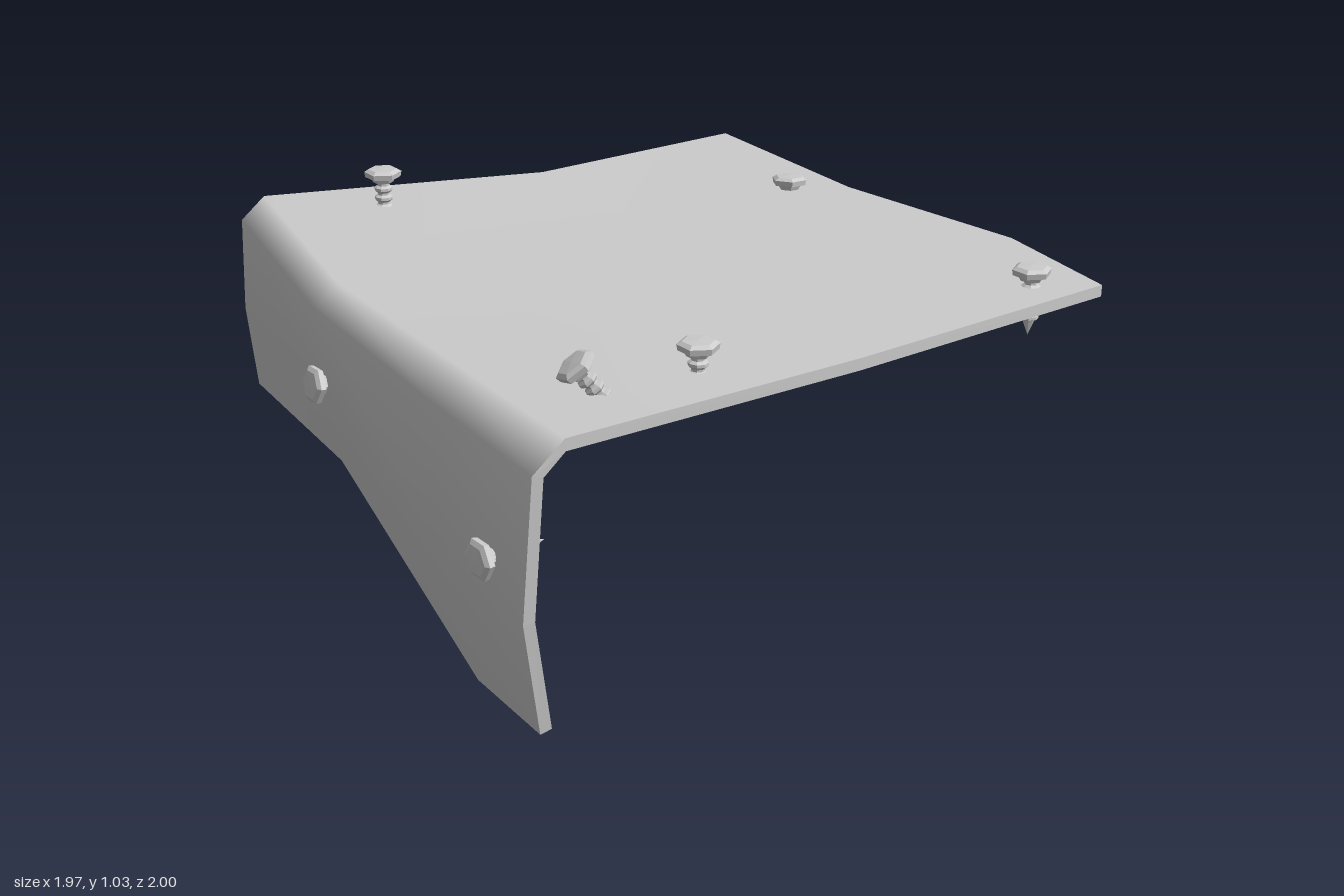
import * as THREE from 'three';

const THICK = 0.033;

// Rows run from the back edge, over the bend and down the front flap; columns from -x to +x
const ROWS = [
  [[-0.82, 0.897, -1.0], [-0.12, 0.897, -0.93], [0.53, 0.897, -0.98], [0.96, 0.897, -0.89]],
  [[-0.8, 0.9, -0.25], [-0.2, 0.9, -0.2], [0.45, 0.9, -0.1], [0.98, 0.897, 0]],
  [[-0.96, 0.945, 0.64], [-0.25, 0.908, 0.79], [0.45, 0.893, 0.83], [0.937, 0.887, 0.86]],
  [[-0.975, 0.88, 0.71], [-0.25, 0.845, 0.86], [0.45, 0.825, 0.92], [0.927, 0.81, 0.947]],
  [[-0.982, 0.6, 0.715], [-0.26, 0.6, 0.85], [0.44, 0.42, 0.915], [0.89, 0.41, 0.955]],
  [[-0.985, 0.345, 0.685], [-0.27, 0.375, 0.795], [0.43, 0.0, 0.8], [0.85, 0.07, 0.885]],
];

const material = (extra = {}) => new THREE.MeshStandardMaterial({ color: 0xcccccc, ...extra });

function makeMesh(name, geometry, mat) {
  const mesh = new THREE.Mesh(geometry, mat);
  mesh.name = name;
  return mesh;
}

function sheet(points, indices) {
  const g = new THREE.BufferGeometry();
  g.setAttribute('position', new THREE.Float32BufferAttribute(points, 3));
  g.setIndex(indices);
  g.computeVertexNormals();
  return g;
}

// Bent plate: outer skin, inner skin offset along the normals, flat rim between
function createPlate() {
  const plate = new THREE.Group();
  plate.name = 'bentPlate';
  const nr = ROWS.length, nc = ROWS[0].length;
  const id = (r, c) => r * nc + c;
  const outerIndex = [];
  for (let r = 0; r < nr - 1; r++) {
    for (let c = 0; c < nc - 1; c++) {
      const a = id(r, c), b = id(r + 1, c), d = id(r, c + 1), e = id(r + 1, c + 1);
      outerIndex.push(a, b, e, a, e, d);
    }
  }
  const outerPoints = ROWS.flat(2);
  const outer = sheet(outerPoints, outerIndex);
  const n = outer.attributes.normal.array;
  const innerPoints = outerPoints.map((v, i) => v - n[i] * THICK);
  const inner = sheet(innerPoints, [...outerIndex].reverse());

  // Boundary loop, counter-clockwise seen from outside
  const loop = [];
  for (let r = 0; r < nr - 1; r++) loop.push(id(r, 0));
  for (let c = 0; c < nc - 1; c++) loop.push(id(nr - 1, c));
  for (let r = nr - 1; r > 0; r--) loop.push(id(r, nc - 1));
  for (let c = nc - 1; c > 0; c--) loop.push(id(0, c));
  const total = nr * nc;
  const rimIndex = [];
  loop.forEach((p, k) => {
    const q = loop[(k + 1) % loop.length];
    rimIndex.push(p, p + total, q + total, p, q + total, q);
  });
  const rim = sheet([...outerPoints, ...innerPoints], rimIndex);

  plate.add(
    makeMesh('plateOuterFace', outer, material()),
    makeMesh('plateInnerFace', inner, material()),
    makeMesh('plateRim', rim, material({ flatShading: true })),
  );
  return plate;
}

const profile = (pts) => pts.map(([x, y]) => new THREE.Vector2(x, y));

// Screw with its head top at the origin, pointing down -y
const headGeometry = new THREE.LatheGeometry(
  profile([[0, -0.042], [0.03, -0.042], [0.036, -0.03], [0.052, -0.026], [0.055, -0.01], [0.042, -0.002], [0, 0]]), 6);
headGeometry.rotateY(Math.PI / 6);

function shaftGeometry() {
  const pts = [[0, -0.2], [0.017, -0.155]];
  for (let i = 0; i < 4; i++) {
    const y = -0.15 + i * 0.028;
    pts.push([0.027, y], [0.027, y + 0.008], [0.018, y + 0.014], [0.018, y + 0.02]);
  }
  pts.push([0.018, -0.035]);
  return new THREE.LatheGeometry(profile(pts), 8);
}

function createScrew(shaft, [position, axis, twist]) {
  const screw = new THREE.Group();
  screw.name = 'screw';
  screw.add(
    makeMesh('screwHead', headGeometry, material({ flatShading: true })),
    makeMesh('screwThread', shaft, material({ flatShading: true })),
  );
  screw.position.set(...position);
  screw.quaternion.setFromUnitVectors(new THREE.Vector3(0, 1, 0), new THREE.Vector3(...axis).normalize());
  screw.rotateY(twist);
  return screw;
}

// Head top position, outward axis, twist
const SCREWS = [
  [[-0.745, 1.033, 0.355], [0, 1, 0], 0],
  [[0.8, 0.975, 0.37], [0, 1, 0], 0],
  [[0.85, 0.955, -0.73], [0, 1, 0], 0],
  [[-0.215, 0.94, -0.77], [-0.05, 1, -0.04], Math.PI / 6],
  [[-0.235, 0.64, 0.9], [-0.04, 0.13, 1], 0],
  [[0.745, 0.535, 0.995], [0, 0, 1], 0],
  [[0.738, 0.975, 0.705], [-0.25, 0.8, 0.6], 0],
];

export function createModel() {
  const model = new THREE.Group();
  model.name = 'screwedPlate';
  model.add(createPlate());
  const shaft = shaftGeometry();
  SCREWS.forEach((s) => model.add(createScrew(shaft, s)));
  return model;
}
